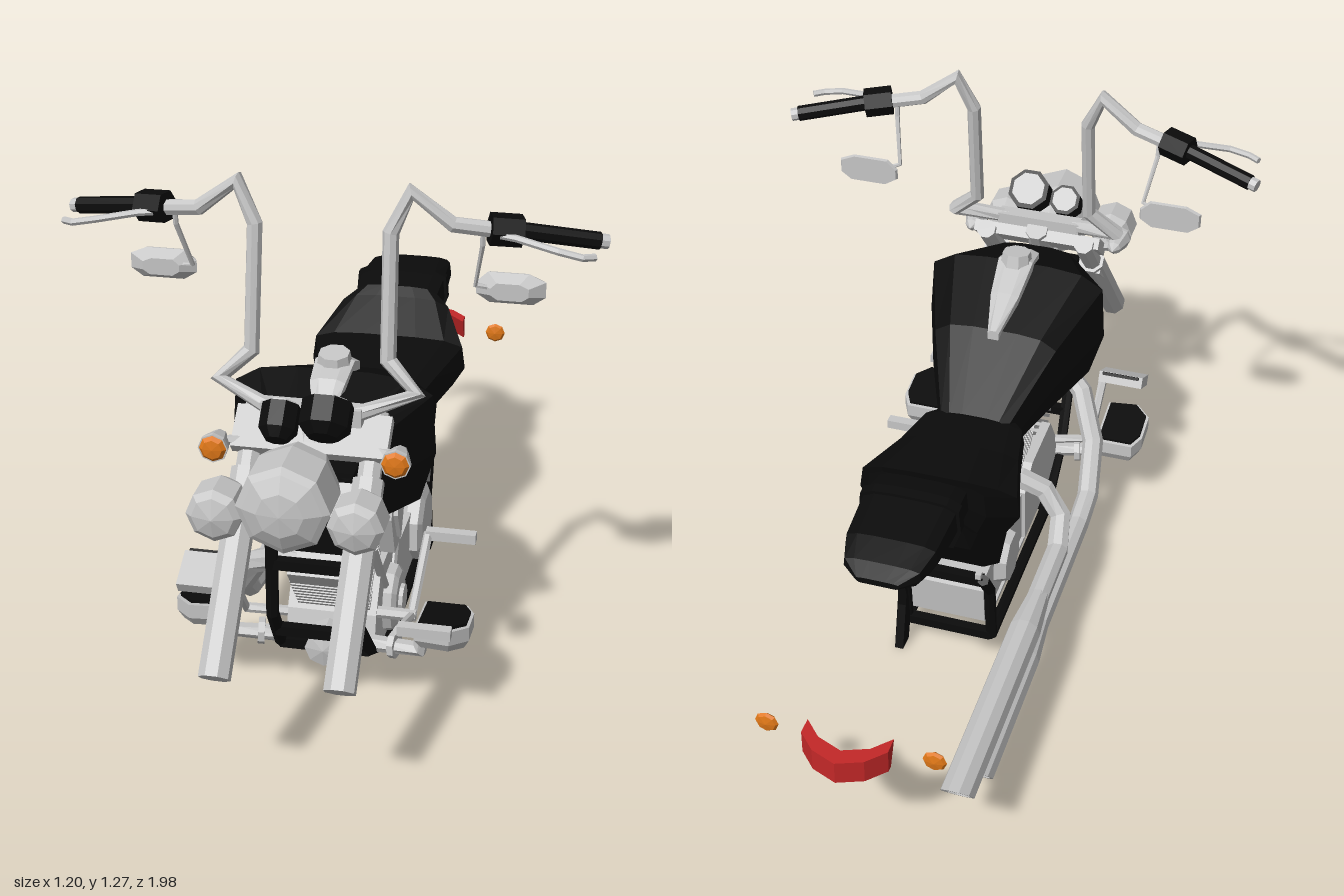
import * as THREE from 'three';

const mat = (name, color) => { const m = new THREE.MeshStandardMaterial({ color }); m.name = name; return m; };
const V = (x, y, z) => new THREE.Vector3(x, y, z);

export function createModel() {
  const root = new THREE.Group();
  root.name = 'motorcycle';
  const black = mat('black paint', 0x0b0b0b), chrome = mat('chrome', 0xc6c6c6);
  const orange = mat('orange lens', 0xe07818), red = mat('red lens', 0xc42828);

  // Adds a faceted mesh
  const add = (name, geo, material) => {
    const g = geo.index ? geo.toNonIndexed() : geo;
    g.computeVertexNormals();
    const m = new THREE.Mesh(g, material);
    m.name = name;
    root.add(m);
    return m;
  };
  // Closed skin over a row of rings, with end caps; always turned outward
  const loft = (rings) => {
    const tris = [], n = rings[0].length;
    for (let i = 0; i < rings.length - 1; i++) for (let j = 0; j < n; j++) {
      const k = (j + 1) % n, a = rings[i], b = rings[i + 1];
      tris.push([a[j], a[k], b[k]], [a[j], b[k], b[j]]);
    }
    const cap = (r, flip) => {
      const c = r.reduce((s, p) => s.add(p), V(0, 0, 0)).divideScalar(n);
      for (let j = 0; j < n; j++) { const k = (j + 1) % n; tris.push(flip ? [c, r[k], r[j]] : [c, r[j], r[k]]); }
    };
    cap(rings[0], true);
    cap(rings[rings.length - 1], false);
    const vol = tris.reduce((s, [a, b, c]) => s + a.dot(b.clone().cross(c)), 0);
    const pos = tris.flatMap(([a, b, c]) => (vol < 0 ? [a, c, b] : [a, b, c]).flatMap((p) => [p.x, p.y, p.z]));
    return new THREE.BufferGeometry().setAttribute('position', new THREE.Float32BufferAttribute(pos, 3));
  };
  // Polygonal tube along a bent path; r may be one radius per point
  const tube = (path, r, sides = 8) => {
    const p = path.map((a) => V(...a)), rings = [];
    let n = null;
    p.forEach((c, i) => {
      const t = V(0, 0, 0);
      if (i > 0) t.add(c.clone().sub(p[i - 1]).normalize());
      if (i < p.length - 1) t.add(p[i + 1].clone().sub(c).normalize());
      t.normalize();
      if (!n) n = Math.abs(t.y) < 0.9 ? V(0, 1, 0) : V(1, 0, 0);
      n = n.clone().addScaledVector(t, -n.dot(t)).normalize();
      const b = t.clone().cross(n), rad = Array.isArray(r) ? r[i] : r;
      rings.push(Array.from({ length: sides }, (_, j) => {
        const a = ((j + 0.5) / sides) * Math.PI * 2;
        return c.clone().addScaledVector(n, rad * Math.cos(a)).addScaledVector(b, rad * Math.sin(a));
      }));
    });
    return loft(rings);
  };
  const box = (w, h, d, x, y, z, rx = 0) => new THREE.BoxGeometry(w, h, d).rotateX(rx).translate(x, y, z);
  // Lathe about the z axis, profile as [radius, z] from back to front
  const spin = (prof, x, y, z, sides = 8) => new THREE.LatheGeometry(prof.map(([r, h]) => new THREE.Vector2(r, h)), sides)
    .rotateX(Math.PI / 2).translate(x, y, z);
  // Body sections: [z, half width, bottom, top]
  const body = (rows) => loft(rows.map(([z, w, y0, y1]) => {
    const h = y1 - y0;
    const half = [[0.35, y1], [0.72, y1 - h * 0.03], [0.96, y1 - h * 0.14], [1, y0 + h * 0.4], [0.85, y0]];
    return [...half.map(([x, y]) => V(x * w, y, z)), ...half.reverse().map(([x, y]) => V(-x * w, y, z))];
  }));
  // Side plate: outline in [z, y], spanning x0 to x1
  const plate = (outline, x0, x1) => loft([x0, x1].map((x) => outline.map(([z, y]) => V(x, y, z))));

  // Bodywork
  add('fuelTank', body([[0.58, 0.12, 0.5, 0.73], [0.4, 0.235, 0.485, 0.79], [0.2, 0.165, 0.485, 0.71], [0.02, 0.09, 0.46, 0.57]]), black);
  add('neckCover', box(0.2, 0.2, 0.1, 0, 0.57, 0.61), black);
  add('seat', body([[0.06, 0.09, 0.5, 0.56], [0.02, 0.13, 0.48, 0.565], [-0.1, 0.155, 0.46, 0.575], [-0.26, 0.2, 0.47, 0.595],
    [-0.355, 0.145, 0.53, 0.665], [-0.38, 0.11, 0.575, 0.685], [-0.46, 0.115, 0.59, 0.7], [-0.6, 0.108, 0.612, 0.685], [-0.66, 0.09, 0.62, 0.665], [-0.695, 0.05, 0.63, 0.645]]), black);
  add('seatStrap', body([[-0.45, 0.122, 0.58, 0.708], [-0.475, 0.122, 0.58, 0.706]]), black);
  add('underSeatBody', body([[0.04, 0.09, 0.28, 0.55], [-0.15, 0.14, 0.26, 0.57], [-0.26, 0.13, 0.34, 0.58], [-0.34, 0.12, 0.46, 0.59], [-0.38, 0.1, 0.58, 0.64]]), black);

  // Tank console and filler cap
  add('tankConsole', loft([[0.5, 0.025, 0.75], [0.46, 0.04, 0.795], [0.38, 0.045, 0.815], [0.28, 0.036, 0.77], [0.18, 0.014, 0.72]].map(([z, w, y]) =>
    [V(-w, y - 0.05, z), V(-w, y - 0.008, z), V(-w * 0.5, y, z), V(w * 0.5, y, z), V(w, y - 0.008, z), V(w, y - 0.05, z)])), chrome);
  add('fillerCap', tube([[0, 0.79, 0.385], [0, 0.828, 0.39]], [0.042, 0.036]), chrome);

  // Headlight and gauges
  add('headlight', spin([[0, 0.67], [0.045, 0.675], [0.085, 0.74], [0.1, 0.79], [0.1, 0.885], [0.085, 0.895], [0.05, 0.913], [0, 0.92]], 0, 0.693, 0), chrome);
  add('horn', spin([[0, 0.63], [0.03, 0.64], [0.03, 0.7], [0, 0.71]], 0, 0.575, 0), chrome);
  for (const [x, y, r] of [[-0.05, 0.805, 0.042], [0.05, 0.82, 0.056]]) {
    add('gaugePod', tube([[x, y - 0.035, 0.73], [x, y - 0.02, 0.715], [x, y + 0.02, 0.675]], [r * 0.6, r, r]), black);
    add('gaugeFace', tube([[x, y + 0.02, 0.675], [x, y + 0.024, 0.671]], r * 0.8), chrome);
  }
  // Fork yokes and steering neck
  add('upperYoke', box(0.34, 0.03, 0.1, 0, 0.735, 0.615, 0.7), chrome);
  add('lowerYoke', box(0.32, 0.035, 0.08, 0, 0.615, 0.69, 0.7), chrome);
  add('steeringNeck', tube([[0, 0.56, 0.72], [0, 0.78, 0.58]], 0.03), chrome);
  add('barClamp', box(0.22, 0.04, 0.04, 0, 0.785, 0.61), chrome);

  for (const s of [1, -1]) {
    const path = (pts) => pts.map(([x, y, z]) => [x * s, y, z]);
    // Fork
    add('forkLeg', tube(path([[0.133, 0.325, 0.965], [0.133, 0.66, 0.66]]), 0.035), chrome);
    add('forkTube', tube(path([[0.133, 0.66, 0.66], [0.133, 0.77, 0.56]]), 0.026), chrome);
    // Front lamps
    add('spotLamp', spin([[0, 0.75], [0.03, 0.76], [0.06, 0.81], [0.06, 0.875], [0.045, 0.888], [0, 0.9]], 0.148 * s, 0.66, 0), chrome);
    add('frontSignalHousing', spin([[0, 0.62], [0.018, 0.64], [0.033, 0.69], [0.033, 0.7], [0, 0.7]], 0.197 * s, 0.722, 0), chrome);
    add('frontSignalLens', spin([[0.03, 0.7], [0.022, 0.708], [0, 0.711]], 0.197 * s, 0.722, 0), orange);
    add('signalStem', tube(path([[0.13, 0.72, 0.63], [0.2, 0.72, 0.66]]), 0.011, 6), chrome);
    add('sideReflector', tube(path([[0.1, 0.56, 0.59], [0.135, 0.56, 0.59]]), 0.028), orange);
    add('rearSignal', spin([[0, -0.908], [0.022, -0.904], [0.028, -0.898], [0.022, -0.892], [0, -0.888]], 0.195 * s, 0.35, 0), orange);
    add('seatBolt', box(0.014, 0.014, 0.014, 0.15 * s, 0.47, -0.43), chrome);
    // Handlebar and controls
    add('handlebar', tube(path([[0.05, 0.785, 0.61], [0.1, 0.79, 0.61], [0.215, 0.823, 0.56], [0.15, 0.885, 0.535], [0.147, 1.16, 0.495], [0.187, 1.248, 0.48], [0.275, 1.18, 0.475], [0.37, 1.165, 0.45]]),
      [0.018, 0.018, 0.022, 0.019, 0.018, 0.02, 0.018, 0.018]), chrome);
    add('switchHousing', tube(path([[0.35, 1.17, 0.458], [0.415, 1.162, 0.436]]), 0.036, 6), black);
    add('grip', tube(path([[0.415, 1.162, 0.436], [0.575, 1.133, 0.385]]), 0.019), black);
    add('gripEnd', tube(path([[0.575, 1.133, 0.385], [0.592, 1.13, 0.379]]), 0.016), chrome);
    add('lever', tube(path([[0.36, 1.165, 0.475], [0.41, 1.16, 0.48], [0.5, 1.147, 0.505], [0.55, 1.137, 0.505], [0.575, 1.135, 0.49]]), 0.008, 6), chrome);
    // Mirror
    add('mirrorStem', tube(path([[0.335, 1.165, 0.455], [0.335, 1.13, 0.45], [0.315, 1.02, 0.405], [0.35, 1.01, 0.39]]), 0.006, 6), chrome);
    const oval = (k, z) => [[-0.075, 0.012], [-0.05, 0.036], [0.04, 0.036], [0.077, 0.02], [0.077, -0.015], [0.05, -0.034], [-0.045, -0.034], [-0.075, -0.015]]
      .map(([x, y]) => V((0.388 + x * k) * s, 1.007 + y * k, z));
    add('mirror', loft([oval(0.95, 0.372), oval(1, 0.38), oval(0.55, 0.405)]), chrome);
    // Frame rails
    add('frameRail', tube(path([[0.085, 0.66, 0.655], [0.088, 0.5, 0.645], [0.095, 0.28, 0.62], [0.105, 0.14, 0.51], [0.112, 0.052, 0.34], [0.112, 0.052, -0.19], [0.112, 0.14, -0.2], [0.112, 0.22, -0.21], [0.112, 0.3, -0.265]]), 0.015, 6), black);
    // Footboards
    const pad = (k, y) => [[-0.06, 0.43], [0.04, 0.43], [0.06, 0.47], [0.06, 0.55], [0.02, 0.59], [-0.06, 0.58]]
      .map(([x, z]) => V((0.28 + x * k) * s, y + (z - 0.5) * 0.15, 0.505 + (z - 0.505) * k));
    add('footboard', loft([pad(0.8, 0.185), pad(1, 0.21), pad(1, 0.245)]), chrome);
    add('footboardPad', loft([pad(0.88, 0.245), pad(0.88, 0.253)]), black);
    add('footboardArm', tube(path([[0.09, 0.14, 0.48], [0.22, 0.15, 0.5], [0.225, 0.2, 0.5]]), 0.02, 6), chrome);
    add('armCollar', tube(path([[0.15, 0.145, 0.485], [0.165, 0.146, 0.488]]), 0.032), chrome);
  }
  // Frame cross members, belly panel and rear stand strut
  for (const [y, z, w] of [[0.42, 0.635, 0.18], [0.21, 0.57, 0.2], [0.14, 0.51, 0.21], [0.052, 0.34, 0.22], [0.052, -0.19, 0.22], [0.29, -0.255, 0.22]])
    add('frameCrossMember', box(w, 0.024, 0.024, 0, y, z), black);
  add('bellyPanel', box(0.19, 0.01, 0.48, 0, 0.066, 0.08), chrome);
  add('standStrut', plate([[-0.27, 0.3], [-0.225, 0.29], [-0.185, 0.22], [-0.18, 0.12], [-0.215, 0], [-0.26, 0], [-0.225, 0.12], [-0.225, 0.22]], 0.103, 0.125), black);

  // V-twin engine
  for (const s of [1, -1]) {
    const cyl = new THREE.Group();
    cyl.name = s > 0 ? 'frontCylinder' : 'rearCylinder';
    cyl.position.set(0.01, 0.17, 0.31);
    cyl.rotation.x = 0.67 * s;
    root.add(cyl);
    cyl.add(add('barrel', new THREE.CylinderGeometry(0.065, 0.065, 0.2, 8).translate(0, 0.18, 0), chrome));
    for (let i = 0; i < 9; i++) cyl.add(add('coolingFin', box(0.17, 0.009, 0.18, 0, 0.115 + i * 0.018, 0), chrome));
    cyl.add(add('cylinderHead', box(0.16, 0.05, 0.19, 0, 0.295, 0), chrome));
    cyl.add(add('rockerCover', box(0.12, 0.03, 0.13, 0, 0.33, 0), chrome));
    add('pushrodTube', tube([[0.11, 0.2, 0.31 + 0.03 * s], [0.105, 0.39, 0.31 + 0.17 * s]], 0.012, 6), chrome);
  }
  add('airCleaner', plate([[0.255, 0.46], [0.365, 0.46], [0.38, 0.41], [0.335, 0.3], [0.285, 0.3], [0.24, 0.41]], -0.06, 0.13), chrome);
  add('airCleanerCover', plate([[0.275, 0.44], [0.345, 0.44], [0.355, 0.41], [0.31, 0.33], [0.265, 0.41]], 0.13, 0.14), chrome);
  add('crankcase', plate([[0.46, 0.2], [0.4, 0.29], [0.22, 0.29], [0.15, 0.24], [0.16, 0.08], [0.4, 0.08], [0.48, 0.13]], -0.1, 0.11), chrome);
  add('timingCover', tube([[0.1, 0.165, 0.31], [0.13, 0.165, 0.31], [0.14, 0.165, 0.31]], [0.085, 0.08, 0.065], 10), chrome);
  add('timingBoss', tube([[0.13, 0.165, 0.31], [0.15, 0.165, 0.31]], 0.035, 10), chrome);
  add('primaryCase', plate([[0.2, 0.235], [-0.17, 0.225], [-0.19, 0.19], [-0.18, 0.08], [0.2, 0.08]], -0.09, 0.11), chrome);
  add('clutchCover', tube([[0.1, 0.17, -0.065], [0.13, 0.17, -0.065], [0.14, 0.17, -0.065]], [0.1, 0.1, 0.08]), chrome);
  add('gearCover', tube([[-0.08, 0.18, -0.03], [-0.12, 0.18, -0.03]], [0.08, 0.065]), chrome);
  add('oilFilter', spin([[0, 0.44], [0.045, 0.45], [0.045, 0.53], [0, 0.54]], 0, 0.14, 0), chrome);

  // Foot controls: heel-and-toe shifter on the left, brake on the right
  add('shifterRod', tube([[0.195, 0.315, 0.25], [0.19, 0.2, 0.44], [0.19, 0.27, 0.62]], 0.011, 6), chrome);
  for (const [y, z] of [[0.313, 0.25], [0.275, 0.62]]) add('shifterPeg', box(0.12, 0.024, 0.026, 0.25, y, z), chrome);
  add('shifterPivot', tube([[0.1, 0.2, 0.44], [0.2, 0.2, 0.44]], 0.014, 6), chrome);
  add('brakeLever', tube([[-0.1, 0.19, 0.46], [-0.195, 0.2, 0.48], [-0.2, 0.335, 0.58]], 0.012, 6), chrome);
  add('brakePedal', box(0.12, 0.03, 0.09, -0.255, 0.345, 0.585, 0.5), chrome);
  add('brakePad', box(0.1, 0.008, 0.075, -0.255, 0.361, 0.577, 0.5), black);

  // Exhaust headers and slash-cut mufflers
  add('frontHeader', tube([[-0.02, 0.36, 0.53], [-0.1, 0.38, 0.54], [-0.16, 0.34, 0.5], [-0.215, 0.24, 0.42], [-0.235, 0.15, 0.3], [-0.235, 0.13, 0.2], [-0.235, 0.13, -0.32]], 0.028), chrome);
  add('rearHeader', tube([[-0.05, 0.36, 0.09], [-0.11, 0.36, 0.07], [-0.17, 0.33, 0.08], [-0.22, 0.27, 0.06], [-0.235, 0.225, -0.02], [-0.235, 0.222, -0.32]], 0.028), chrome);
  for (const [y, end] of [[0.222, -0.865], [0.13, -0.72]]) {
    const ring = (r, z, cut) => Array.from({ length: 10 }, (_, i) => {
      const a = (i / 10) * Math.PI * 2, dy = r * Math.sin(a);
      return V(-0.235 + r * Math.cos(a), y + dy, z - dy * cut);
    });
    add('muffler', loft([ring(0.028, -0.2, 0), ring(0.04, -0.33, 0), ring(0.04, end, 0.75), ring(0.033, end, 0.75), ring(0.033, end + 0.12, 0)]), chrome);
  }

  // Curved tail light
  add('tailLight', loft([-0.1, -0.06, 0, 0.06, 0.1].map((x) => {
    const z = -0.995 + 6.5 * x * x;
    return [V(x, 0.38, z), V(x, 0.32, z), V(x, 0.32, z + 0.015), V(x, 0.38, z + 0.04)];
  })), red);
  return root;
}
